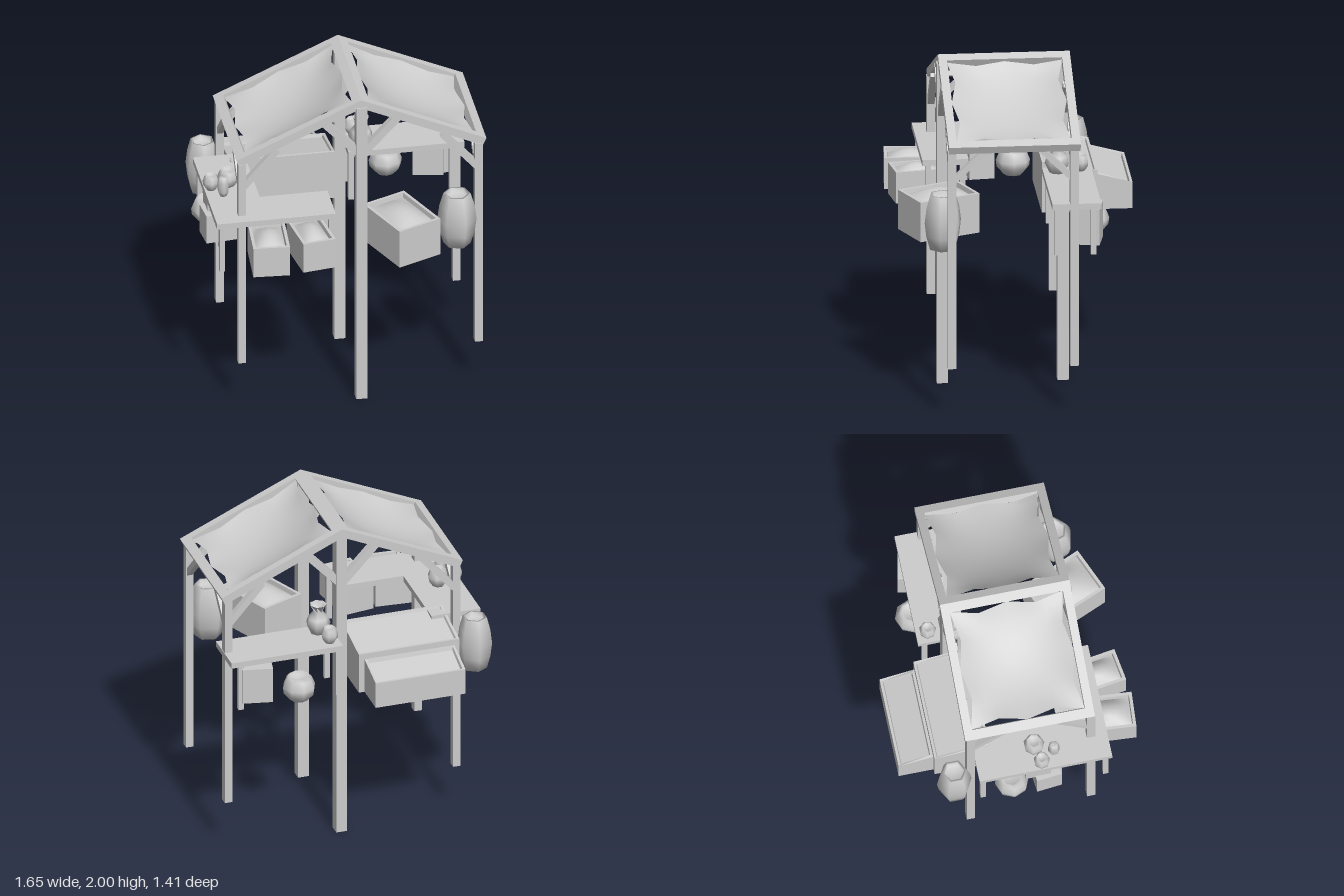
import * as THREE from 'three';

const mat = new THREE.MeshStandardMaterial({ color: 0xcccccc });
const flat = new THREE.MeshStandardMaterial({ color: 0xcccccc, flatShading: true });
const thin = new THREE.MeshStandardMaterial({ color: 0xcccccc, side: THREE.DoubleSide });

function add(parent, name, geo, material = mat) {
  const mesh = new THREE.Mesh(geo, material);
  mesh.name = name;
  parent.add(mesh);
  return mesh;
}

// Box given by its limits on each axis
function block(parent, name, x0, x1, y0, y1, z0, z1) {
  const m = add(parent, name, new THREE.BoxGeometry(x1 - x0, y1 - y0, z1 - z0));
  m.position.set((x0 + x1) / 2, (y0 + y1) / 2, (z0 + z1) / 2);
  return m;
}

// Square timber between two points
function beam(parent, name, a, b, width) {
  const p = new THREE.Vector3(...a), q = new THREE.Vector3(...b);
  const m = add(parent, name, new THREE.BoxGeometry(width, width, p.distanceTo(q)));
  m.position.copy(p).add(q).multiplyScalar(0.5);
  m.lookAt(q);
  return m;
}

// Skin over rectangular rings, closed at both ends; ring = [half width, half depth, front y, back y]
function ringSolid(rings) {
  const loops = rings.map(([w, d, f, b]) => [[-w, f, d], [w, f, d], [w, b, -d], [-w, b, -d]]);
  const pos = [];
  const quad = (a, b, c, d) => pos.push(...a, ...b, ...c, ...a, ...c, ...d);
  for (let r = 0; r + 1 < loops.length; r++) {
    for (let i = 0; i < 4; i++) {
      const j = (i + 1) % 4;
      quad(loops[r][i], loops[r][j], loops[r + 1][j], loops[r + 1][i]);
    }
  }
  quad(...[...loops[0]].reverse());
  quad(...loops[loops.length - 1]);
  const g = new THREE.BufferGeometry();
  g.setAttribute('position', new THREE.Float32BufferAttribute(pos, 3));
  g.computeVertexNormals();
  return g;
}

// Open box with a rim; front and back heights may differ
function bin(parent, name, x, y, z, w, d, hFront, hBack, turn = 0, rim = 0.018, sink = 0.035) {
  const g = new THREE.Group();
  g.name = name;
  g.position.set(x, y, z);
  g.rotation.y = turn;
  const iw = w / 2 - rim, id = d / 2 - rim;
  add(g, name + 'Body', ringSolid([
    [w / 2, d / 2, 0, 0], [w / 2, d / 2, hFront, hBack], [iw, id, hFront, hBack],
    [iw - 0.005, id - 0.005, hFront - sink, hBack - sink],
  ]), flat);
  parent.add(g);
  return g;
}

// Crate holding a rounded heap
function filledCrate(parent, name, x, y, z, w, d, h, turn) {
  const g = bin(parent, name, x, y, z, w, d, h, h, turn);
  const heap = new THREE.PlaneGeometry(w - 0.037, d - 0.037, 6, 6).rotateX(-Math.PI / 2);
  const p = heap.attributes.position;
  for (let i = 0; i < p.count; i++) {
    const u = p.getX(i) / (w / 2 - 0.018), v = p.getZ(i) / (d / 2 - 0.018);
    p.setY(i, h - 0.03 + 0.055 * (1 - u * u) * (1 - v * v));
  }
  heap.computeVertexNormals();
  add(g, name + 'Heap', heap);
}

// Turned vessel from [radius, height] pairs
function vessel(parent, name, x, y, z, profile, sides = 6, turn = 0) {
  const pts = profile.map(([r, h]) => new THREE.Vector2(r, h));
  const m = add(parent, name, new THREE.LatheGeometry(pts, sides), thin);
  m.position.set(x, y, z);
  m.rotation.y = turn;
}

// Round pot with an open mouth
const potProfile = (r, h) => [[0, 0], [r * 0.55, 0], [r * 0.95, h * 0.3], [r, h * 0.55],
  [r * 0.8, h * 0.87], [r * 0.6, h], [r * 0.5, h * 0.85], [0, h * 0.82]];

// One roof slope: timber frame and a sagging cloth, running along +x from the ridge
function roofHalf(length) {
  const g = new THREE.Group();
  const hz = 0.384, inner = 0.335, u0 = 0.055, u1 = length - 0.058;
  for (const s of [-1, 1]) {
    block(g, 'rafter', 0, length, -0.05, 0, s > 0 ? inner : -hz, s > 0 ? hz : -inner);
  }
  block(g, 'ridgeBeam', 0, u0, -0.05, 0, -inner, inner);
  block(g, 'eaveBeam', u1, length, -0.05, 0, -inner, inner);

  const n = 12;
  const cloth = new THREE.PlaneGeometry(2, 2, n, n).rotateX(-Math.PI / 2);
  const p = cloth.attributes.position;
  // Edge dips inward between the tie points
  const dip = (t) => 0.035 * (1 - Math.abs(((t + 1) * 2) % 2 - 1));
  for (let i = 0; i < p.count; i++) {
    const u = p.getX(i), v = p.getZ(i);
    const x = u * ((u1 - u0) / 2 - dip(v) * Math.abs(u) ** 3) + (u0 + u1) / 2;
    const z = v * (inner - dip(u) * Math.abs(v) ** 3);
    p.setXYZ(i, x, -0.018 - 0.075 * (1 - u * u) * (1 - v * v), z);
  }
  cloth.computeVertexNormals();
  add(g, 'canopyCloth', cloth, thin);
  return g;
}

function leg(parent, x, z) {
  block(parent, 'tableLeg', x - 0.016, x + 0.016, 0.97, 1.265, z - 0.016, z + 0.016);
}

export function createModel() {
  const model = new THREE.Group();
  model.name = 'marketStall';
  const cx = 0.085;

  // Posts and braces, front and back
  for (const z of [0.41, -0.293]) {
    block(model, 'centerPost', 0.053, 0.119, 0, 1.95, z - 0.033, z + 0.033);
    const zc = z > 0 ? 0.413 : -0.299;
    const inward = z > 0 ? -1 : 1;
    for (const s of [-1, 1]) {
      const px = s < 0 ? -0.619 : 0.777;
      block(model, 'cornerPost', px - 0.023, px + 0.023, 0.31, 1.64, zc - 0.025, zc + 0.025);
      beam(model, 'cornerBrace', [px - s * 0.005, 1.48, zc], [px - s * 0.21, 1.715, zc], 0.04);
      beam(model, 'centerBrace', [cx + s * 0.02, 1.65, zc], [cx + s * 0.225, 1.87, zc], 0.045);
      beam(model, 'sideBrace', [px, 1.445, zc], [px, 1.64, zc + inward * 0.2], 0.035);
    }
  }

  // Roof
  for (const s of [-1, 1]) {
    const slope = new THREE.Group();
    slope.name = s > 0 ? 'leftRoof' : 'rightRoof';
    slope.position.set(cx, 2, 0.05);
    const half = roofHalf(0.808);
    half.rotation.z = -Math.atan2(0.33, 0.737);
    slope.add(half);
    if (s < 0) slope.rotation.y = Math.PI;
    model.add(slope);
  }

  // Corner table
  block(model, 'cornerTableFront', -0.78, -0.08, 1.265, 1.3, 0.24, 0.51);
  block(model, 'cornerTableSide', -0.78, -0.48, 1.265, 1.3, -0.275, 0.24);
  for (const [x, z] of [[-0.745, 0.475], [-0.1, 0.475], [-0.1, 0.275], [-0.7, 0.21],
    [-0.745, -0.25], [-0.515, -0.25]]) leg(model, x, z);

  // Back table
  block(model, 'backTable', 0.12, 0.803, 1.265, 1.3, -0.455, -0.17);
  for (const x of [0.14, 0.735]) for (const z of [-0.415, -0.205]) leg(model, x, z);

  // Filled crates at the front
  filledCrate(model, 'smallCrate', -0.482, 1.03, 0.548, 0.215, 0.3, 0.19, -0.07);
  filledCrate(model, 'smallCrate', -0.228, 1.03, 0.527, 0.2, 0.3, 0.19, 0.15);
  filledCrate(model, 'largeCrate', 0.32, 1, 0.45, 0.282, 0.386, 0.24, 0.4);

  // Stepped display bins at the back
  bin(model, 'tallBin', -0.268, 1, -0.338, 0.615, 0.325, 0.31, 0.25, 0, 0.015, 0.015);
  bin(model, 'lowBin', -0.27, 1, -0.605, 0.55, 0.205, 0.215, 0.16, 0, 0.015, 0.02);

  // Boxes stored under the tables
  const stored = [[-0.7, 1.09, 0.125, 0.19, 0.18, 0.15, 0.1], [-0.71, 1.215, 0.075, 0.12, 0.1, 0.15, 0],
    [0.63, 1.13, -0.385, 0.18, 0.22, 0.17, -0.2]];
  for (const [x, y, z, w, h, d, turn] of stored) {
    const box = add(model, 'storedBox', new THREE.BoxGeometry(w, h, d));
    box.position.set(x, y, z);
    box.rotation.y = turn;
  }

  // Barrels
  const barrel = [[0, 0], [0.08, 0], [0.103, 0.08], [0.114, 0.165], [0.103, 0.25], [0.08, 0.33],
    [0.066, 0.33], [0.066, 0.3], [0, 0.3]];
  vessel(model, 'barrel', 0.645, 1, 0.455, barrel, 6, 0.3);
  vessel(model, 'barrel', -0.7, 1, -0.41, barrel.map(([r, h]) => [r * 0.9, h]), 6, 0);

  // Pots under and on the tables
  vessel(model, 'largePot', -0.727, 0.99, -0.075, potProfile(0.1, 0.155), 8);
  vessel(model, 'largePot', 0.385, 0.99, -0.44, potProfile(0.098, 0.155), 8);
  vessel(model, 'smallPot', -0.742, 1.3, 0.1, potProfile(0.048, 0.1), 7);
  vessel(model, 'smallPot', -0.637, 1.3, 0.075, potProfile(0.062, 0.112), 7);
  vessel(model, 'smallPot', 0.18, 1.3, -0.387, potProfile(0.05, 0.1), 7);
  vessel(model, 'tallJar', -0.685, 1.3, 0.183,
    [[0, 0], [0.022, 0], [0.034, 0.03], [0.034, 0.09], [0.022, 0.122], [0, 0.115]], 6);
  vessel(model, 'vase', 0.205, 1.3, -0.25,
    [[0, 0], [0.045, 0], [0.073, 0.06], [0.06, 0.1], [0.027, 0.14], [0.05, 0.185], [0.02, 0.14], [0, 0.13]], 7);

  return model;
}
